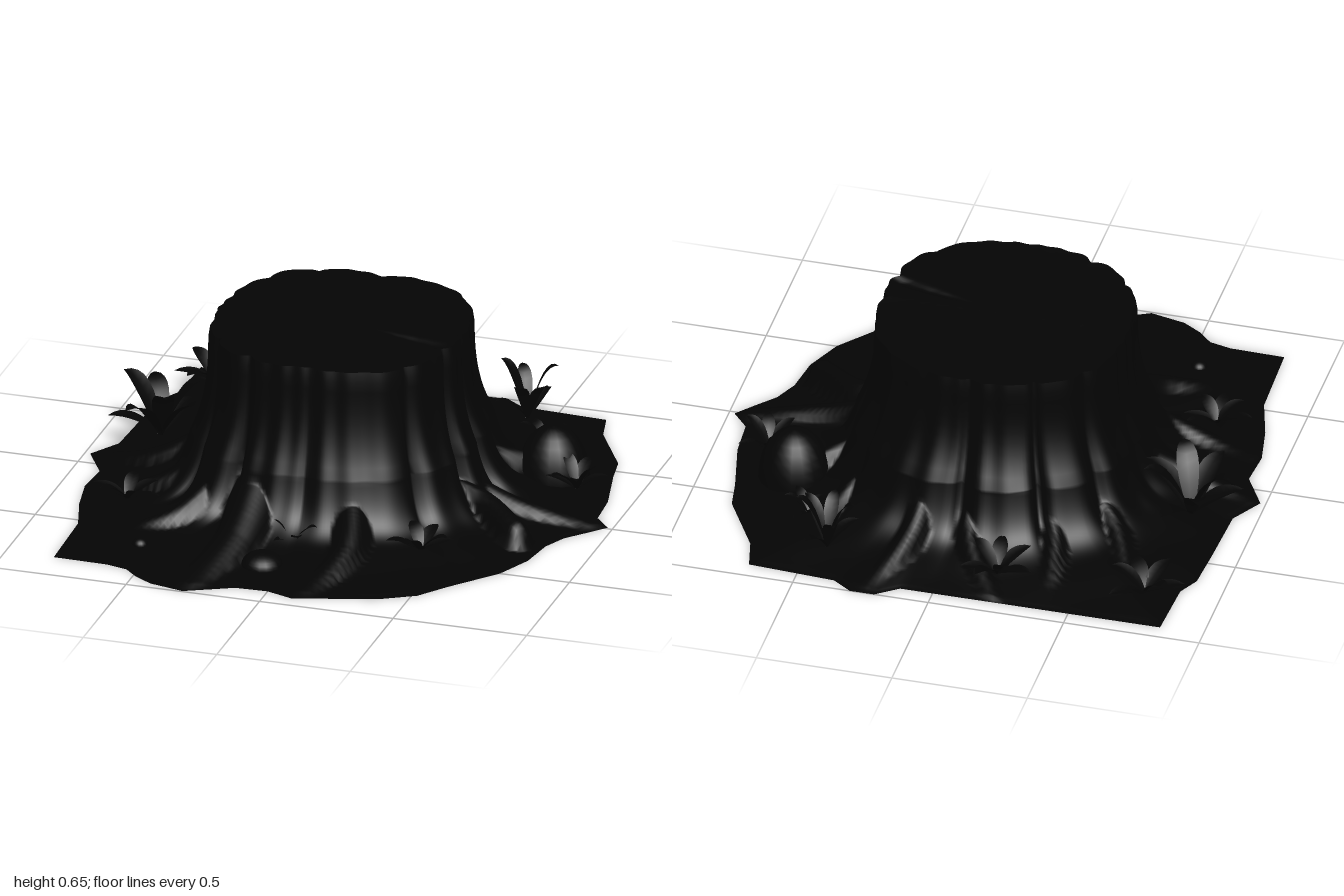
import * as THREE from 'three';

const DARK = { color: 0x040404 };
const CX = -0.035, CZ = -0.07, TOP = 0.645;
const lerp = THREE.MathUtils.lerp, smooth = THREE.MathUtils.smoothstep;

// ground outline seen from above, as [x, z]
const OUTLINE = [
  [0.98, -0.01], [0.93, 0.05], [0.86, 0.13], [0.82, 0.22], [0.8, 0.36], [0.74, 0.5], [0.6, 0.67], [0.52, 0.78],
  [0.4, 0.85], [0.2, 0.91], [0.1, 0.94], [0, 0.905], [-0.12, 0.91], [-0.22, 0.96], [-0.29, 0.995], [-0.42, 0.965],
  [-0.49, 0.92], [-0.54, 0.87], [-0.62, 0.85], [-0.82, 0.845], [-0.83, 0.53], [-0.88, 0.36], [-0.91, 0.2],
  [-0.9, 0.06], [-0.98, -0.08], [-0.91, -0.2], [-0.9, -0.45], [-0.89, -0.62], [-0.85, -0.7], [-0.84, -0.94],
  [0.12, -0.94], [0.2, -1], [0.29, -1], [0.36, -0.95], [0.68, -0.93], [0.71, -0.8], [0.84, -0.57],
  [0.86, -0.45], [0.91, -0.23], [0.92, -0.08]];

// roots: path points, start/end half-width, start/end height, fall-off power
const ROOTS = [
  [[[-0.2, 0.34], [-0.21, 0.62], [-0.31, 1.0]], 0.13, 0.06, 0.25, 0.0, 1.25],
  [[[0.14, 0.34], [0.2, 0.6], [0.11, 0.93]], 0.09, 0.05, 0.22, 0.0, 1.2],
  [[[0.38, -0.02], [0.62, 0.01], [0.98, -0.01]], 0.08, 0.04, 0.17, 0.0, 1],
  [[[0.38, 0.08], [0.55, 0.11], [0.72, 0.25]], 0.07, 0.06, 0.17, 0.1, 1],
  [[[0.3, -0.36], [0.43, -0.5], [0.5, -0.74]], 0.07, 0.04, 0.22, 0.01, 1.2],
  [[[0.37, -0.22], [0.5, -0.28], [0.62, -0.36]], 0.07, 0.05, 0.2, 0.1, 1.3],
  [[[0.12, -0.48], [0.14, -0.7], [0.25, -0.98]], 0.08, 0.04, 0.27, 0.0, 1.2],
  [[[-0.06, -0.48], [-0.06, -0.66], [-0.22, -0.92]], 0.07, 0.04, 0.27, 0.01, 1.2],
  [[[-0.26, -0.42], [-0.36, -0.6], [-0.4, -0.86]], 0.07, 0.035, 0.25, 0.01, 1.2],
  [[[-0.38, -0.32], [-0.55, -0.47], [-0.66, -0.72]], 0.07, 0.035, 0.22, 0.01, 1.2],
  [[[-0.45, -0.1], [-0.68, -0.03], [-0.97, -0.08]], 0.1, 0.04, 0.22, 0.0, 1.3],
  [[[-0.4, 0.16], [-0.6, 0.22], [-0.86, 0.2]], 0.08, 0.04, 0.22, 0.01, 1.3],
  [[[-0.34, 0.27], [-0.46, 0.47], [-0.72, 0.6]], 0.08, 0.04, 0.22, 0.01, 1.3],
].map(([path, w0, w1, h0, h1, p]) => {
  const curve = new THREE.CatmullRomCurve3(path.map(([x, z]) => new THREE.Vector3(x, 0, z)));
  return curve.getPoints(28).map((v, i) => {
    const s = i / 28;
    return { x: v.x, z: v.z, w: lerp(w0, w1, s), h: h1 + (h0 - h1) * Math.pow(1 - s, p) };
  });
});

function rootHeight(x, z) {
  let best = 0;
  for (const root of ROOTS) for (const q of root) {
    const d2 = ((x - q.x) ** 2 + (z - q.z) ** 2) / (q.w * q.w);
    if (d2 < 1) best = Math.max(best, q.h * Math.sqrt(1 - d2));
  }
  return best;
}

// height of soil and roots; u is the distance from the bark, t runs from 0 there to 1 at the outline
function groundHeight(x, z, u, t) {
  const soil = 0.055 * (1 - t) + 0.195 * Math.exp(-u / 0.045)
    + 0.008 * Math.sin(x * 17 + z * 5) * Math.sin(z * 15 - x * 4) * (1 - t);
  return Math.max(soil, rootHeight(x, z)) * (1 - smooth(t, 0.93, 1)) + 0.004 * (1 - t);
}

// bark radius: slightly squared plan, uneven lobes parted by grooves, flaring towards the foot
function barkRadius(a, y) {
  const lobe = Math.abs(Math.sin(a * 6.5 + 0.9 * Math.sin(a * 2) + 0.6 * Math.sin(a * 3)));
  const groove = Math.pow(1 - lobe, 2.5) * (0.6 + 0.4 * Math.sin(a * 3 + 1));
  const flare = 0.062 * Math.pow(Math.max(0, TOP - y) / 0.39, 3);
  const backFlare = 1 + 0.5 * Math.max(0, -Math.sin(a)) ** 2;
  return 0.459 + 0.03 * Math.sin(a * 2) ** 2 + flare * backFlare - groove * (0.028 + flare * 0.6)
    + 0.003 * Math.sin(a * 29 + 2 * Math.sin(a * 4));
}
const rimHeight = a => TOP + 0.003 * Math.sin(a * 5) + 0.0015 * Math.sin(a * 13);

// outline subdivided so that the fan of angles is even
const RIM = [];
OUTLINE.forEach(([x, z], i) => {
  const [x2, z2] = OUTLINE[(i + 1) % OUTLINE.length];
  let da = Math.atan2(z2 - CZ, x2 - CX) - Math.atan2(z - CZ, x - CX);
  if (da < -Math.PI) da += Math.PI * 2;
  const n = Math.max(1, Math.ceil(Math.abs(da) / 0.022));
  for (let k = 0; k < n; k++) {
    const px = lerp(x, x2, k / n), pz = lerp(z, z2, k / n);
    RIM.push({ a: Math.atan2(pz - CZ, px - CX), r: Math.hypot(px - CX, pz - CZ) });
  }
});

// joins closed rings of points, ordered from inside to outside
function loft(rings) {
  const n = rings[0].length, index = [];
  for (let i = 0; i < rings.length - 1; i++) for (let j = 0; j < n; j++) {
    const a = i * n + j, b = i * n + (j + 1) % n;
    index.push(a, b, a + n, b, b + n, a + n);
  }
  return meshGeometry(rings.flat(2), index);
}
function meshGeometry(positions, index) {
  const geo = new THREE.BufferGeometry();
  geo.setAttribute('position', new THREE.Float32BufferAttribute(positions, 3));
  geo.setIndex(index);
  geo.computeVertexNormals();
  return geo;
}
const at = (a, r, y) => [CX + Math.cos(a) * r, y, CZ + Math.sin(a) * r];

// broad pointed leaf along +z that rises and then arches over
function leafGeometry(length, width, height) {
  const pos = [], index = [], N = 8;
  for (let i = 0; i <= N; i++) {
    const s = i / N, w = width * Math.pow(Math.sin(Math.PI * Math.min(0.999, 0.06 + s * 0.94)), 0.8);
    const y = height * (2 * s - 1.05 * s * s), z = length * s;
    pos.push(-w, y + w * 0.3, z, 0, y, z, w, y + w * 0.3, z);
    if (i < N) for (let k = 0; k < 2; k++) {
      const a = i * 3 + k;
      index.push(a, a + 3, a + 1, a + 1, a + 3, a + 4);
    }
  }
  return meshGeometry(pos, index);
}

export function createModel() {
  const model = new THREE.Group();
  const solid = new THREE.MeshStandardMaterial(DARK);
  const leafy = new THREE.MeshStandardMaterial({ ...DARK, side: THREE.DoubleSide });
  const add = (name, geo, mat = solid, parent = model) => {
    const mesh = new THREE.Mesh(geo, mat);
    mesh.name = name;
    parent.add(mesh);
    return mesh;
  };

  // bark flowing down into roots and soil
  const rings = [];
  for (let i = 0; i <= 10; i++) rings.push(RIM.map(({ a }) => {
    const y = lerp(rimHeight(a), 0.254, i / 10);
    return at(a, barkRadius(a, y) - (i ? 0 : 0.006), y);
  }));
  for (let i = 1; i <= 44; i++) rings.push(RIM.map(({ a, r }) => {
    const t = Math.pow(i / 44, 1.35), r0 = barkRadius(a, 0.254), rr = lerp(r0, r, t);
    const [x, , z] = at(a, rr, 0);
    return [x, groundHeight(x, z, rr - r0, t), z];
  }));
  add('trunkRootsAndSoil', loft(rings));

  // sawn top with shallow growth rings and a crack towards the left
  const cap = [];
  for (let i = 0; i <= 16; i++) cap.push(RIM.map(({ a }) => {
    const s = i / 16, y = rimHeight(a);
    const crack = 0.012 * Math.exp(-(((a - 0.25) / 0.06) ** 2)) * smooth(s, 0.2, 0.7);
    const dip = s < 1 ? 0.003 + 0.001 * Math.sin(s * 40) + crack : 0;
    return at(a, (barkRadius(a, y) - 0.006) * s, lerp(TOP, y, s) - dip);
  }));
  add('cutTop', loft(cap));

  // flat underside
  const base = new THREE.ShapeGeometry(new THREE.Shape(OUTLINE.map(([x, z]) => new THREE.Vector2(x, z))));
  add('underside', base.rotateX(Math.PI / 2));

  // half-buried stones: x, z, radius, height
  for (const [x, z, r, h] of [[-0.08, 0.72, 0.075, 0.05], [0.665, -0.36, 0.13, 0.195], [-0.55, 0.68, 0.03, 0.025]]) {
    const stone = add('stone', new THREE.SphereGeometry(1, 18, 8, 0, Math.PI * 2, 0, Math.PI / 2));
    stone.scale.set(r, h, r);
    stone.position.set(x, 0.018, z);
  }

  // leafy plants: x, z, reach, height, leaf count, turn
  const PLANTS = [
    [-0.77, -0.25, 0.2, 0.2, 8, 1.2], [-0.74, -0.78, 0.15, 0.08, 7, 0.5], [-0.2, -0.8, 0.14, 0.09, 7, 0.1],
    [0.43, -0.79, 0.13, 0.2, 7, 0.9], [0.79, -0.24, 0.12, 0.1, 7, 0.3], [0.43, 0.46, 0.13, 0.07, 8, 0.6],
    [-0.71, 0.33, 0.13, 0.06, 8, 0], [-0.02, 0.52, 0.1, 0.07, 6, 0.4], [0.55, -0.6, 0.1, 0.07, 6, 0.7]];
  for (const [x, z, reach, height, count, turn] of PLANTS) {
    const plant = new THREE.Group();
    plant.name = 'plant';
    plant.position.set(x, 0.03, z);
    for (let i = 0; i < count; i++) {
      const k = [1, 0.85, 0.95][i % 3], up = [0.85, 1.1, 0.45][i % 3];
      const leaf = add('leaf', leafGeometry(reach * k, reach * 0.2, height * up), leafy, plant);
      leaf.rotation.y = turn + (i / count) * Math.PI * 2;
    }
    model.add(plant);
  }
  return model;
}
